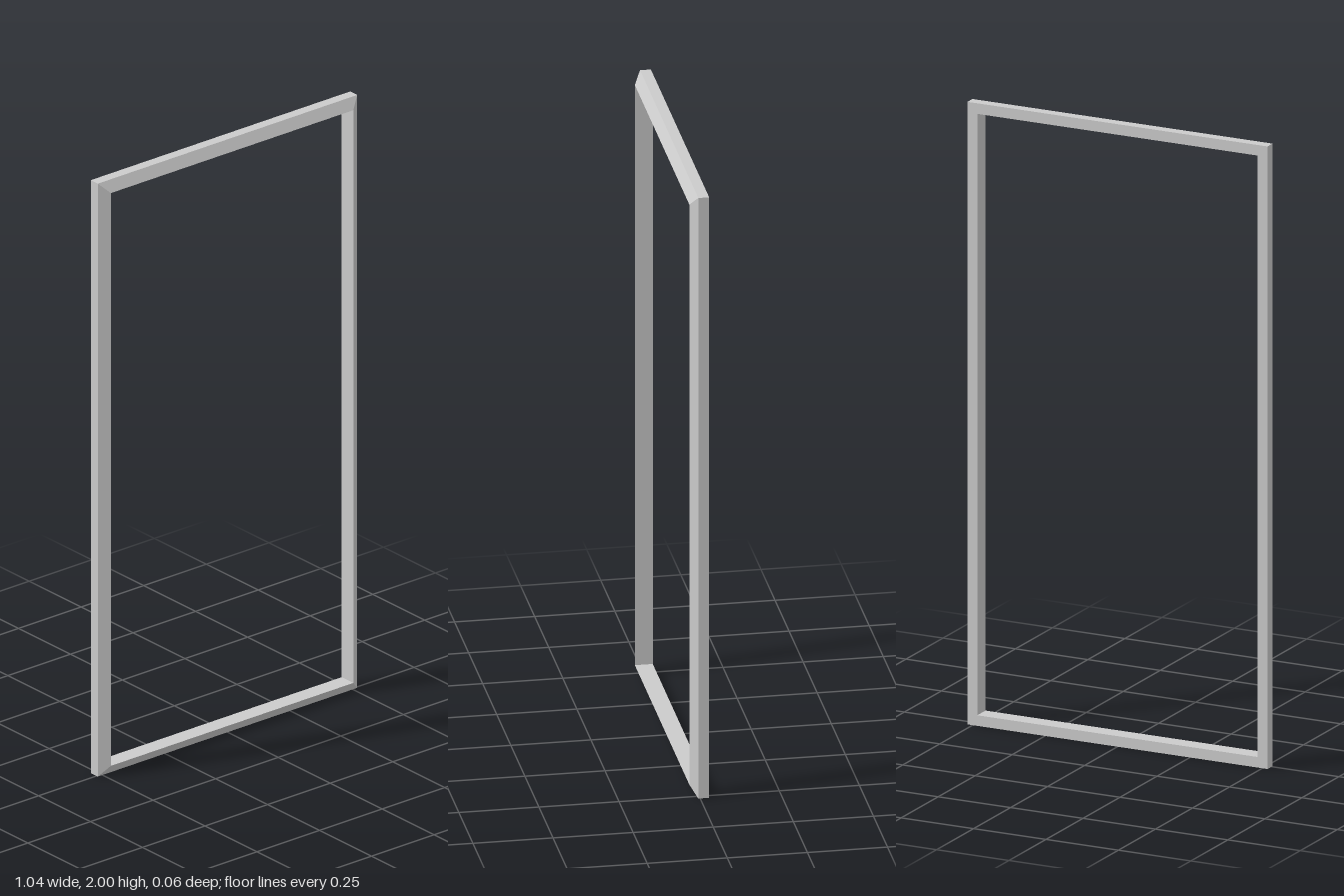
import * as THREE from 'three';

const HALF_W = 0.518, HEIGHT = 2;

// Rail cross-section as [inset from outer edge, z]; the front slopes up to the inner edge
const PROFILE = [[0, -0.028], [0, 0.006], [0.034, 0.028], [0.034, -0.028]];

// Corners of the rectangle, counter-clockwise seen from the front
const CORNERS = [[-1, -1], [1, -1], [1, 1], [-1, 1]];
const NAMES = ['bottomRail', 'leftStile', 'topRail', 'rightStile'];

// Profile point placed on the mitre at a corner
function mitrePoint([sx, sy], [inset, z]) {
  return [sx * (HALF_W - inset), HEIGHT / 2 + sy * (HEIGHT / 2 - inset), z];
}

// One mitred bar running between two corners
function railGeometry(start, end) {
  const a = PROFILE.map((p) => mitrePoint(start, p));
  const b = PROFILE.map((p) => mitrePoint(end, p));
  const positions = [];
  for (let i = 0; i < PROFILE.length; i++) {
    const j = (i + 1) % PROFILE.length;
    positions.push(...a[i], ...b[i], ...b[j], ...a[i], ...b[j], ...a[j]);
  }
  const geometry = new THREE.BufferGeometry();
  geometry.setAttribute('position', new THREE.Float32BufferAttribute(positions, 3));
  geometry.computeVertexNormals();
  return geometry;
}

export function createModel() {
  const group = new THREE.Group();
  group.name = 'frame';
  const material = new THREE.MeshStandardMaterial({ color: 0xcccccc, flatShading: true });

  // Four rails meeting at mitred corners
  NAMES.forEach((name, i) => {
    const rail = new THREE.Mesh(railGeometry(CORNERS[i], CORNERS[(i + 1) % 4]), material);
    rail.name = name;
    group.add(rail);
  });
  return group;
}
